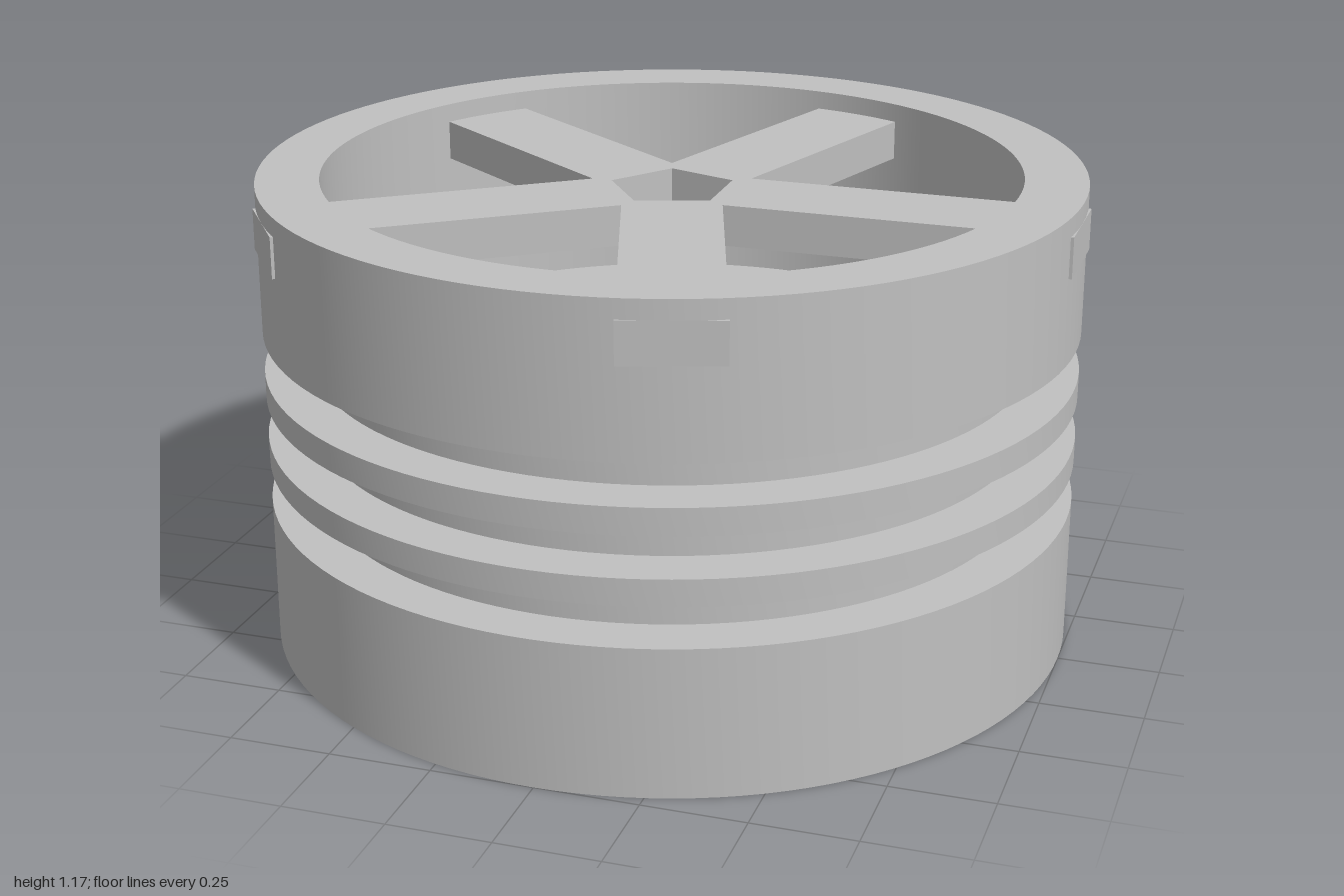
import * as THREE from 'three';
import { toCreasedNormals } from 'three/addons/utils/BufferGeometryUtils.js';

const R = 1, INNER = 0.847, GROOVE = 0.877, HUB = 0.125, BORE = 0.067;
const HEIGHT = 1.167, SPOKE_LOW = 1.02, SPOKE_HIGH = 1.12;

export function createModel() {
  const model = new THREE.Group();
  model.name = 'wheel';
  const grey = new THREE.MeshStandardMaterial({ color: 0xc0c0c0 });
  grey.name = 'grey plastic';

  const add = (name, geometry) => {
    const mesh = new THREE.Mesh(geometry, grey);
    mesh.name = name;
    model.add(mesh);
  };
  // Turned part: closed counterclockwise profile, sharp at its corners
  const turned = (name, profile) => {
    const points = [...profile, profile[0]].map(([x, y]) => new THREE.Vector2(x, y));
    add(name, toCreasedNormals(new THREE.LatheGeometry(points, 120), 0.5));
  };

  // Rim with three square grooves around the outside
  const rim = [[INNER, 0], [R, 0]];
  for (const [low, high] of [[0.367, 0.467], [0.533, 0.633], [0.7, 0.8]]) {
    rim.push([R, low], [GROOVE, low], [GROOVE, high], [R, high]);
  }
  rim.push([R, HEIGHT], [INNER, HEIGHT]);
  turned('rim', rim);

  // Web closing the rim halfway up
  turned('web', [[HUB, 0.52], [INNER, 0.52], [INNER, 0.65], [HUB, 0.65]]);

  // Bored hub from just below the web up to the spokes
  turned('hub', [[BORE, 0.467], [HUB, 0.467], [HUB, SPOKE_LOW], [BORE, SPOKE_LOW]]);

  // Five-spoke star whose square ends just break through the rim
  const half = 0.12, root = half / Math.tan(Math.PI / 5);
  const origin = new THREE.Vector2();
  const outline = [], pocket = [];
  for (let i = 0; i < 5; i++) {
    const turn = i * Math.PI * 2 / 5;
    for (const [x, y] of [[R, -half], [R, half], [root, half]]) {
      outline.push(new THREE.Vector2(x, y).rotateAround(origin, turn));
    }
    pocket.push(new THREE.Vector2(-0.155, 0).rotateAround(origin, turn));
  }
  const star = new THREE.Shape(outline);
  star.holes.push(new THREE.Path(pocket));
  const spokes = new THREE.ExtrudeGeometry(star, { depth: SPOKE_HIGH - SPOKE_LOW, bevelEnabled: false });
  spokes.rotateX(-Math.PI / 2).translate(0, SPOKE_LOW, 0);
  add('spokes', spokes);

  return model;
}
